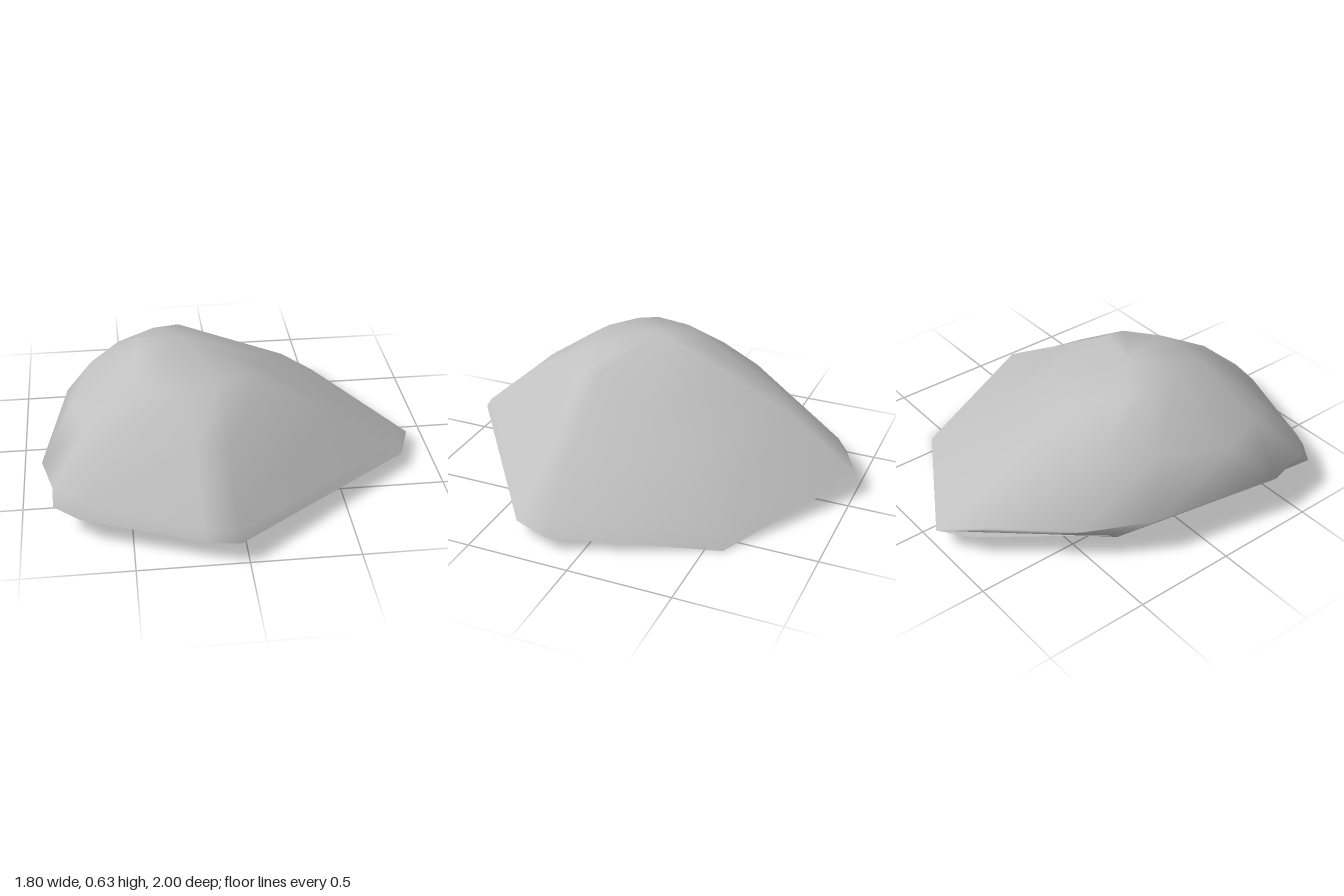
import * as THREE from 'three';

// Each spoke runs from the lower rim up over the shell: rim, lip, shoulder, crown
const spokes = [
  [[-0.13, 0.10, -1.00], [-0.14, 0.15, -0.92], [-0.18, 0.335, -0.63], [-0.18, 0.52, -0.25]],
  [[0.59, 0.00, -0.58], [0.54, 0.06, -0.54], [0.34, 0.27, -0.36], [0.22, 0.42, -0.08]],
  [[0.90, 0.07, 0.15], [0.82, 0.12, 0.16], [0.50, 0.31, 0.21], [0.14, 0.54, 0.22]],
  [[0.83, 0.07, 0.34], [0.77, 0.11, 0.34], [0.47, 0.32, 0.31], [0.13, 0.54, 0.31]],
  [[-0.04, 0.107, 1.00], [-0.04, 0.155, 0.97], [-0.06, 0.39, 0.70], [-0.06, 0.57, 0.40]],
  [[-0.20, 0.107, 0.97], [-0.20, 0.155, 0.94], [-0.20, 0.40, 0.68], [-0.24, 0.56, 0.44]],
  [[-0.73, 0.12, 0.77], [-0.71, 0.18, 0.74], [-0.59, 0.36, 0.60], [-0.36, 0.55, 0.42]],
  [[-0.85, 0.135, 0.68], [-0.85, 0.20, 0.62], [-0.69, 0.39, 0.45], [-0.44, 0.58, 0.29]],
  [[-0.80, 0.13, 0.32], [-0.90, 0.19, 0.40], [-0.76, 0.375, 0.22], [-0.43, 0.61, 0.17]],
  [[-0.69, 0.115, -0.39], [-0.78, 0.19, -0.25], [-0.65, 0.42, -0.12], [-0.42, 0.60, 0.00]],
  [[-0.50, 0.125, -0.62], [-0.62, 0.17, -0.53], [-0.51, 0.40, -0.35], [-0.38, 0.57, -0.10]],
  [[-0.28, 0.14, -0.90], [-0.33, 0.165, -0.85], [-0.32, 0.38, -0.52], [-0.28, 0.54, -0.18]],
];
const summit = [-0.21, 0.635, 0.07];

// Plan outline (x, z) of the ragged floor that closes the back half underneath
const floorOutline = [
  [-0.13, -1.00], [0.33, -0.61], [0.39, -0.21], [0.25, -0.17], [-0.09, -0.07],
  [-0.46, -0.20], [-0.78, 0.18], [-0.69, -0.39], [-0.28, -0.90],
];

// Joins the rings in order and closes the last one with a fan to the tip
function shell(rings, tip) {
  const n = rings[0].length;
  const index = [];
  rings.forEach((ring, r) => {
    for (let i = 0; i < n; i++) {
      const a = r * n + i;
      const b = r * n + (i + 1) % n;
      if (r < rings.length - 1) index.push(a, a + n, b, b, a + n, b + n);
      else index.push(a, rings.length * n, b);
    }
  });
  const geometry = new THREE.BufferGeometry();
  geometry.setAttribute('position', new THREE.Float32BufferAttribute([...rings.flat(2), ...tip], 3));
  geometry.setIndex(index);
  geometry.computeVertexNormals();
  return geometry;
}

// Lays the outline flat and tilts it to follow the rim
function tiltedFloor(outline) {
  const shape = new THREE.Shape(outline.map(([x, z]) => new THREE.Vector2(x, z)));
  const geometry = new THREE.ShapeGeometry(shape).rotateX(Math.PI / 2);
  const p = geometry.attributes.position;
  for (let i = 0; i < p.count; i++) p.setY(i, 0.07 - 0.07 * p.getX(i) - 0.02 * p.getZ(i));
  geometry.computeVertexNormals();
  return geometry;
}

export function createModel() {
  const group = new THREE.Group();
  group.name = 'rock';
  const stone = new THREE.MeshStandardMaterial({ color: 0xc0c0c0, side: THREE.DoubleSide });
  stone.name = 'grey stone';

  // Smooth domed rock shell
  const dome = new THREE.Mesh(shell(rings(), summit), stone);
  dome.name = 'rockShell';

  // Partial floor under the back
  const floor = new THREE.Mesh(tiltedFloor(floorOutline), stone);
  floor.name = 'partialFloor';

  group.add(dome, floor);
  return group;
}

// Regroups the spokes into closed cross-section loops
function rings() {
  return [0, 1, 2, 3].map((k) => spokes.map((s) => s[k]));
}
